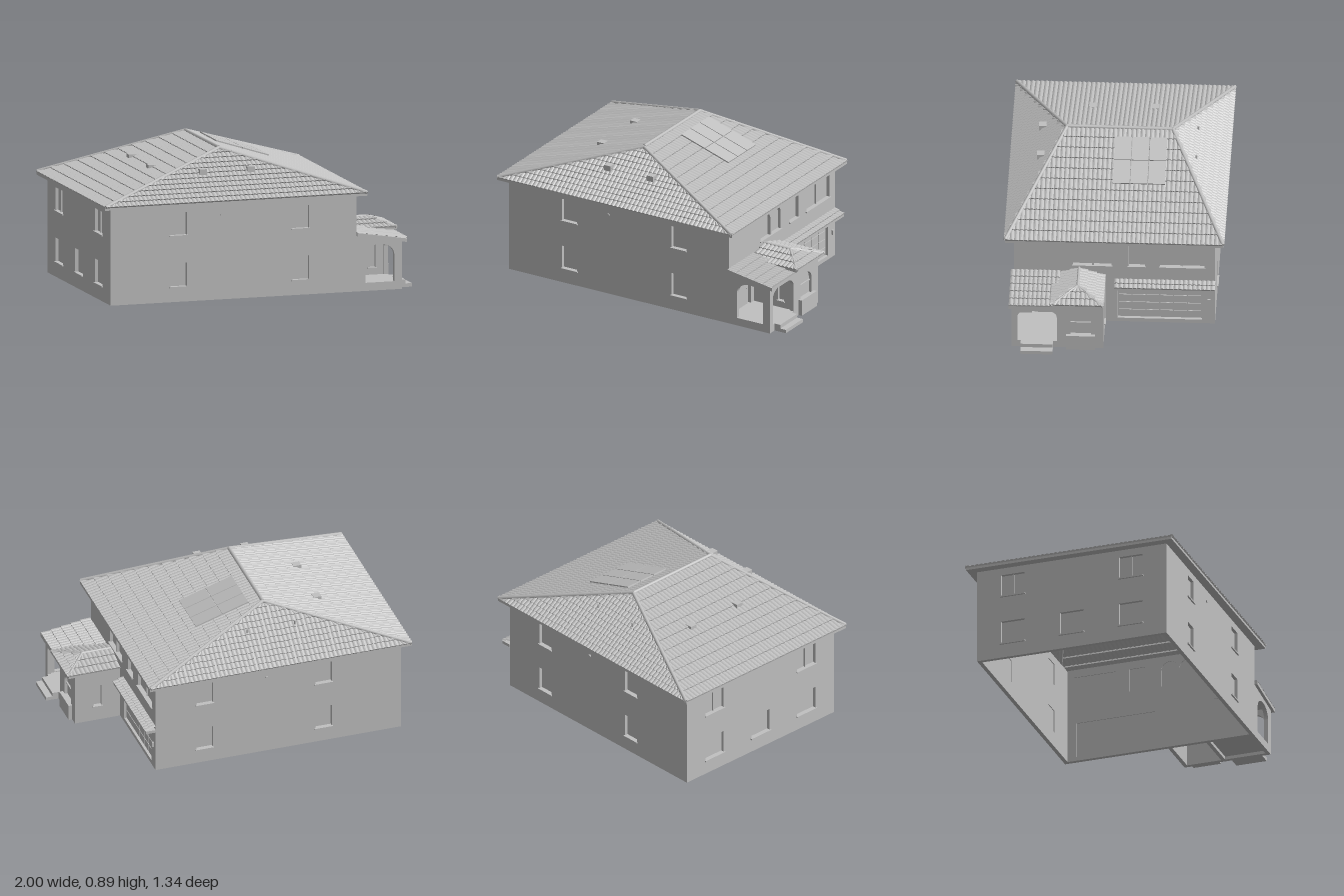
import * as THREE from 'three';

const plaster = new THREE.MeshStandardMaterial({ color: 0xc0c0c0, side: THREE.DoubleSide });
plaster.name = 'light grey';

const V = (x, y, z) => new THREE.Vector3(x, y, z);

function add(parent, name, geometry) {
  const mesh = new THREE.Mesh(geometry, plaster);
  mesh.name = name;
  parent.add(mesh);
  return mesh;
}

// Box given by its minimum and maximum corner
function box(parent, name, x0, x1, y0, y1, z0, z1) {
  const m = add(parent, name, new THREE.BoxGeometry(x1 - x0, y1 - y0, z1 - z0));
  m.position.set((x0 + x1) / 2, (y0 + y1) / 2, (z0 + z1) / 2);
  return m;
}

// Rounded bar between two points
function bar(parent, name, a, b, r) {
  const m = add(parent, name, new THREE.CylinderGeometry(r, r, a.distanceTo(b), 8));
  m.position.copy(a).lerp(b, 0.5);
  m.quaternion.setFromUnitVectors(V(0, 1, 0), b.clone().sub(a).normalize());
  return m;
}

// Opening outline, optionally with an arched head of the given rise
function outline(Type, { u0, u1, y0, y1, rise = 0 }) {
  const s = new Type();
  s.moveTo(u0, y0);
  s.lineTo(u1, y0);
  s.lineTo(u1, y1 - rise);
  if (rise) s.absellipse((u0 + u1) / 2, y1 - rise, (u1 - u0) / 2, rise, 0, Math.PI, false);
  else s.lineTo(u0, y1);
  s.lineTo(u0, y0);
  return s;
}

// Wall with openings; local x runs along it and local z = 0 is the outer face
function wall(parent, name, turn, face, u0, u1, hLeft, hRight, openings = [], t = 0.025) {
  const g = new THREE.Group();
  g.name = name;
  g.rotation.y = turn * Math.PI / 2;
  g.position.set(Math.sin(g.rotation.y) * face, 0, Math.cos(g.rotation.y) * face);
  const s = new THREE.Shape([[u0, 0], [u1, 0], [u1, hRight], [u0, hLeft]].map(p => new THREE.Vector2(...p)));
  for (const o of openings) s.holes.push(outline(THREE.Path, o));
  add(g, name + 'Shell', new THREE.ExtrudeGeometry(s, { depth: t, bevelEnabled: false, curveSegments: 10 })).position.z = -t;
  for (const o of openings) {
    if (o.open) continue;
    add(g, 'pane', new THREE.ShapeGeometry(outline(THREE.Shape, o), 10)).position.z = -t * 0.8;
    if (o.sill !== false) box(g, 'sill', o.u0 - 0.006, o.u1 + 0.006, o.y0 - 0.008, o.y0, -t, 0.01);
    for (const m of o.mullions || []) box(g, 'mullion', m - 0.003, m + 0.003, o.y0, o.y1 - (o.rise || 0), -t * 0.8, -t * 0.4);
    if (o.transom) box(g, 'transom', o.u0, o.u1, o.transom - 0.003, o.transom + 0.003, -t * 0.8, -t * 0.4);
  }
  parent.add(g);
  return g;
}

// Tiled slope: eave A to B, top D to C, in overlapping rows of rounded tiles
function tiles(parent, name, A, B, C, D, rows, { pitch = 0.028, wave = 0.006, lift = 0.007 } = {}) {
  const along = B.clone().sub(A).normalize();
  const normal = B.clone().sub(A).cross(D.clone().sub(A)).normalize();
  const width = A.distanceTo(B);
  const n = Math.round(width / pitch) * 4;
  const uD = D.clone().sub(A).dot(along), uC = C.clone().sub(A).dot(along);
  const up = D.clone().sub(A).addScaledVector(along, -uD);
  const pos = [];
  const point = (j, t, raise) => {
    const u = THREE.MathUtils.clamp(width * j / n, uD * t, width + (uC - width) * t);
    const h = raise < 0 ? 0 : raise + wave * Math.abs(Math.sin(u / width * n * Math.PI / 4));
    return A.clone().addScaledVector(along, u).addScaledVector(up, t).addScaledVector(normal, h);
  };
  for (let r = 0; r < rows; r++) {
    const t0 = r / rows, t1 = (r + 1) / rows;
    const lines = [[t0, -1], [t0, lift], [t1, 0]];
    for (let k = 0; k < 2; k++) for (let j = 0; j < n; j++) {
      const a = point(j, ...lines[k]), b = point(j + 1, ...lines[k]);
      const c = point(j + 1, ...lines[k + 1]), d = point(j, ...lines[k + 1]);
      if (a.distanceTo(b) + c.distanceTo(d) < 1e-5) continue;
      for (const p of [a, b, c, a, c, d]) pos.push(p.x, p.y, p.z);
    }
  }
  const geo = new THREE.BufferGeometry();
  geo.setAttribute('position', new THREE.Float32BufferAttribute(pos, 3));
  geo.computeVertexNormals();
  return add(parent, name, geo);
}

const win = (c, w, y0, y1, extra) => ({ u0: c - w / 2, u1: c + w / 2, y0, y1, ...extra });
const LOW = [0.095, 0.24], HIGH = [0.41, 0.55];

function mainWalls(house) {
  const four = xs => xs.flatMap(x => [win(x, 0.105, ...LOW), win(x, 0.105, ...HIGH)]);
  wall(house, 'frontWall', 0, 0.61, -0.94, 0.63, 0.6, 0.6, four([-0.507, 0.272]));
  wall(house, 'backWall', 2, 0.61, -0.63, 0.94, 0.6, 0.6, four([-0.315, 0.445]));
  wall(house, 'rearSideWall', 3, 0.94, -0.61, 0.61, 0.6, 0.6, [
    ...[-0.38, 0, 0.38].map(z => win(z, 0.15, ...LOW)),
    ...[-0.38, 0.38].map(z => win(z, 0.15, ...HIGH, { mullions: [z] })),
  ]);
  const side = wall(house, 'entranceWall', 1, 0.63, -0.61, 0.61, 0.6, 0.6, [
    { u0: -0.252, u1: -0.135, y0: 0.41, y1: 0.57, rise: 0.057 },
    { u0: -0.125, u1: -0.018, y0: 0.41, y1: 0.57, rise: 0.054 },
    { u0: 0.087, u1: 0.185, y0: 0.41, y1: 0.557 },
    { u0: 0.277, u1: 0.545, y0: 0.41, y1: 0.557, mullions: [0.41] },
    { u0: 0.02, u1: 0.53, y0: 0.025, y1: 0.25, sill: false },
    { u0: -0.5, u1: -0.36, y0: 0.045, y1: 0.275, sill: false },
  ]);
  // Raised panels of the garage door
  for (let i = 0; i < 6; i++) for (let j = 0; j < 4; j++) {
    const u = 0.026 + i * 0.084, y = 0.03 + j * 0.055;
    box(side, 'garagePanel', u, u + 0.077, y, y + 0.049, -0.02, -0.014);
  }
  box(side, 'frontDoor', -0.485, -0.378, 0.045, 0.265, -0.02, -0.012);
  add(side, 'doorKnob', new THREE.SphereGeometry(0.005, 8, 6)).position.set(-0.395, 0.15, -0.008);
  box(side, 'wallLamp', 0.566, 0.582, 0.15, 0.18, 0, 0.012);
  // Round wall vents
  for (const [x, z] of [[-0.23, 0.612], [-0.08, -0.612]]) {
    add(house, 'wallVent', new THREE.CylinderGeometry(0.009, 0.009, 0.012, 12).rotateX(Math.PI / 2)).position.set(x, 0.52, z);
  }
}

function mainRoof(house) {
  const y = 0.61, x0 = -0.992, x1 = 0.682, z = 0.662;
  const fl = V(x0, y, z), fr = V(x1, y, z), br = V(x1, y, -z), bl = V(x0, y, -z);
  const rf = V(-0.155, 0.878, 0.32), rb = V(-0.155, 0.878, -0.32);
  tiles(house, 'frontSlope', fl, fr, rf, rf, 11);
  tiles(house, 'entranceSlope', fr, br, rb, rf, 11);
  tiles(house, 'backSlope', br, bl, rb, rb, 11);
  tiles(house, 'rearSideSlope', bl, fl, rf, rb, 11);
  for (const [a, b] of [[fl, rf], [fr, rf], [br, rb], [bl, rb], [rf, rb]]) {
    bar(house, 'ridgeCap', a.clone().lerp(b, 0.004).add(V(0, 0.005, 0)), b.clone().add(V(0, 0.001, 0)), 0.012);
  }
  // Eave ring, open to the hollow interior
  const ring = outline(THREE.Shape, { u0: x0, u1: x1, y0: -z, y1: z });
  ring.holes.push(outline(THREE.Path, { u0: -0.92, u1: 0.61, y0: -0.59, y1: 0.59 }));
  add(house, 'eaves', new THREE.ExtrudeGeometry(ring, { depth: 0.015, bevelEnabled: false }).rotateX(-Math.PI / 2)).position.y = 0.595;

  // Solar panels lying on the entrance slope
  const angle = Math.atan2(0.268, 0.837);
  for (let i = 0; i < 3; i++) for (let j = 0; j < 2; j++) {
    const x = 0.01 + j * 0.17;
    const p = add(house, 'solarPanel', new THREE.BoxGeometry(0.174, 0.008, 0.102));
    p.position.set(x, 0.878 - (x + 0.155) * 0.32 + 0.017, -0.025 - i * 0.107);
    p.rotation.z = -angle;
  }
  // Roof vents and pipes
  for (const x of [-0.31, -0.005]) {
    box(house, 'roofVent', x - 0.023, x + 0.023, 0.75, 0.785, 0.45, 0.497);
    bar(house, 'ventPipe', V(x, 0.74, -0.47), V(x, 0.795, -0.47), 0.006);
  }
  for (const z0 of [-0.2, 0.18]) box(house, 'roofVent', -0.563, -0.515, 0.735, 0.775, z0 - 0.023, z0 + 0.023);
}

function garageAwning(house) {
  tiles(house, 'awningTiles', V(0.695, 0.285, 0), V(0.695, 0.285, -0.612), V(0.63, 0.312, -0.612), V(0.63, 0.312, 0), 2);
  box(house, 'awningBase', 0.63, 0.692, 0.268, 0.286, -0.612, 0);
}

function entrance(house) {
  // Porch with arched openings
  wall(house, 'porchFront', 0, 0.61, 0.63, 0.92, 0.352, 0.306,
    [{ u0: 0.685, u1: 0.87, y0: 0.05, y1: 0.285, rise: 0.07, open: true }]);
  wall(house, 'porchSide', 1, 0.92, -0.61, -0.32, 0.306, 0.306,
    [{ u0: -0.575, u1: -0.337, y0: 0.045, y1: 0.28, rise: 0.06, open: true }]);
  box(house, 'porchFloor', 0.63, 0.92, 0.02, 0.045, 0.32, 0.6);
  box(house, 'upperStep', 0.92, 0.96, 0, 0.046, 0.36, 0.555);
  box(house, 'lowerStep', 0.96, 1, 0, 0.022, 0.36, 0.555);

  // Projecting room beside the porch
  wall(house, 'roomPorchWall', 0, 0.325, 0.63, 0.92, 0.33, 0.33, [
    { u0: 0.7, u1: 0.745, y0: 0.09, y1: 0.25, rise: 0.022 },
    { u0: 0.8, u1: 0.845, y0: 0.09, y1: 0.25, rise: 0.022 },
  ]);
  wall(house, 'roomOuterWall', 1, 0.92, -0.325, -0.055, 0.33, 0.33,
    [{ u0: -0.255, u1: -0.13, y0: 0.095, y1: 0.25, rise: 0.055, transom: 0.177 }]);
  wall(house, 'roomGarageWall', 2, -0.055, -0.92, -0.63, 0.33, 0.33, [win(-0.775, 0.05, 0.1, 0.24)]);
  box(house, 'planter', 0.92, 0.943, 0, 0.1, 0.105, 0.28);

  // Lean-to porch roof
  const a = V(0.945, 0.312, 0.628), d = V(0.63, 0.362, 0.628);
  const across = V(0, 0, -0.3);
  tiles(house, 'porchTiles', a, a.clone().add(across), d.clone().add(across), d, 5);
  const slab = new THREE.Shape([[0.63, 0.362], [0.63, 0.34], [0.945, 0.29], [0.945, 0.312]].map(p => new THREE.Vector2(...p)));
  add(house, 'porchRoofSlab', new THREE.ExtrudeGeometry(slab, { depth: 0.3, bevelEnabled: false })).position.z = 0.328;

  // Hipped roof over the projecting room
  const y = 0.337, fr = V(0.965, y, 0.372), br = V(0.965, y, 0.055), fl = V(0.63, y, 0.372), bl = V(0.63, y, 0.055);
  const tip = V(0.82, 0.388, 0.214), root = V(0.63, 0.388, 0.214);
  tiles(house, 'roomRoofFront', fl, fr, tip, root, 3);
  tiles(house, 'roomRoofEnd', fr, br, tip, tip, 3);
  tiles(house, 'roomRoofBack', br, bl, root, tip, 3);
  for (const [p, q] of [[fr, tip], [br, tip], [tip, root]]) bar(house, 'roomRidgeCap', p, q, 0.009);
  box(house, 'roomEaves', 0.63, 0.965, 0.324, 0.338, 0.055, 0.372);
}

export function createModel() {
  const house = new THREE.Group();
  house.name = 'house';
  mainWalls(house);
  mainRoof(house);
  garageAwning(house);
  entrance(house);
  return house;
}
